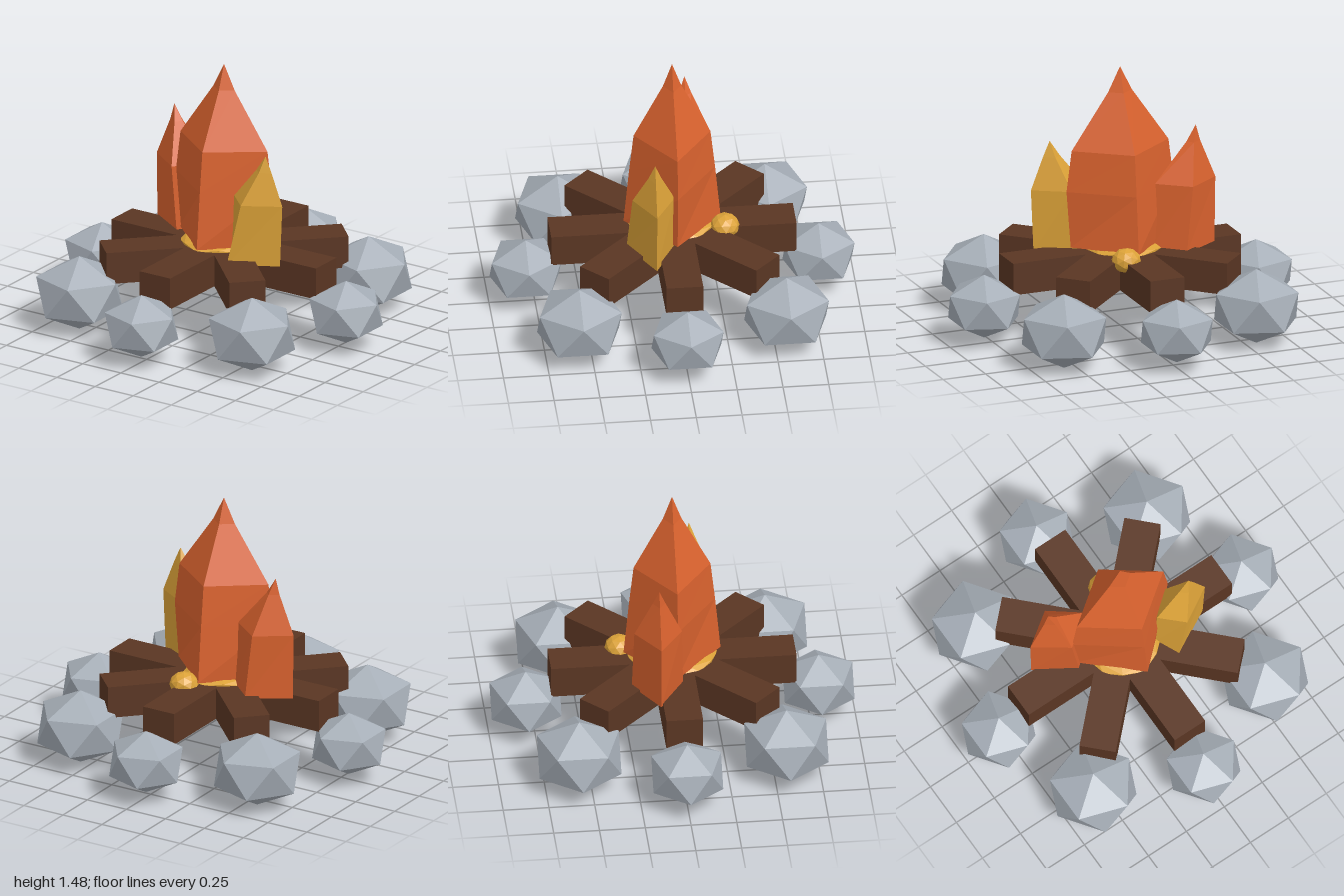
import * as THREE from 'three';

const mat = (name, color) => {
  const m = new THREE.MeshStandardMaterial({ color, flatShading: true });
  m.name = name;
  return m;
};

// Four-sided flame: each ring is [y, left x, ridge x, right x, half depth]; it closes at the apex.
function flameGeometry(rings, apexX, apexY) {
  const pos = [];
  const corners = rings.map(([y, l, m, r, d]) => [[l, y, 0], [m, y, d], [r, y, 0], [m, y, -d]]);
  const tri = (...pts) => pts.forEach((p) => pos.push(...p));
  const base = corners[0];
  const top = corners[corners.length - 1];
  for (let j = 0; j < 4; j++) {
    const k = (j + 1) % 4;
    for (let i = 0; i < corners.length - 1; i++) {
      const a = corners[i], b = corners[i + 1];
      tri(a[j], a[k], b[k]);
      tri(a[j], b[k], b[j]);
    }
    tri(top[j], top[k], [apexX, apexY, 0]);
  }
  tri(base[0], base[2], base[1]);
  tri(base[0], base[3], base[2]);
  const g = new THREE.BufferGeometry();
  g.setAttribute('position', new THREE.Float32BufferAttribute(pos, 3));
  g.computeVertexNormals();
  return g;
}

export function createModel() {
  const group = new THREE.Group();
  const stone = mat('stoneGrey', 0xa6aeb7);
  const wood = mat('woodBrown', 0x5a3623);
  const orange = mat('flameOrange', 0xd9622e);
  const yellow = mat('flameYellow', 0xdca238);

  const add = (name, geometry, material, x = 0, y = 0, z = 0) => {
    const mesh = new THREE.Mesh(geometry, material);
    mesh.name = name;
    mesh.position.set(x, y, z);
    group.add(mesh);
    return mesh;
  };

  // Ring of eight flattened stones standing on a point, alternately small and large
  const tilt = -Math.atan(2 / (1 + Math.sqrt(5)));
  for (let i = 0; i < 8; i++) {
    const a = (i * Math.PI) / 4;
    const g = new THREE.IcosahedronGeometry(i % 2 ? 0.263 : 0.224, 0);
    g.rotateZ(tilt).scale(1, 0.8, 1);
    add('stone', g, stone, 0.8 * Math.cos(a), 0.21, 0.8 * Math.sin(a));
  }

  // Four crossed logs
  for (let i = 0; i < 4; i++) {
    add('log', new THREE.BoxGeometry(1.34, 0.18, 0.2), wood, 0, 0.375, 0).rotation.y = (i * Math.PI) / 4;
  }

  // Flames
  add('mainFlame', flameGeometry([
    [0.48, -0.29, 0, 0.29, 0.265],
    [0.8, -0.315, 0, 0.315, 0.235],
    [1.03, -0.285, 0, 0.285, 0.21],
    [1.34, -0.07, 0, 0.07, 0.05],
  ], 0, 1.48), orange);
  add('rightFlame', flameGeometry([
    [0.45, -0.51, -0.29, -0.13, 0.14],
    [0.82, -0.515, -0.33, -0.16, 0.13],
    [1.04, -0.425, -0.375, -0.345, 0.035],
  ], -0.4, 1.13), orange, 0, 0, -0.11);
  add('leftFlame', flameGeometry([
    [0.44, 0.135, 0.2, 0.455, 0.14],
    [0.79, 0.155, 0.275, 0.47, 0.115],
    [0.97, 0.3, 0.34, 0.4, 0.035],
  ], 0.36, 1.06), yellow, 0, 0, 0.13);

  // Glowing embers under and behind the flames
  const bed = new THREE.IcosahedronGeometry(0.25, 1).scale(0.9, 0.22, 1);
  add('emberBed', bed, yellow, -0.01, 0.46, 0);
  const ember = new THREE.IcosahedronGeometry(0.085, 1).scale(0.95, 0.8, 0.95);
  add('ember', ember, yellow, 0.08, 0.465, -0.28);

  return group;
}
